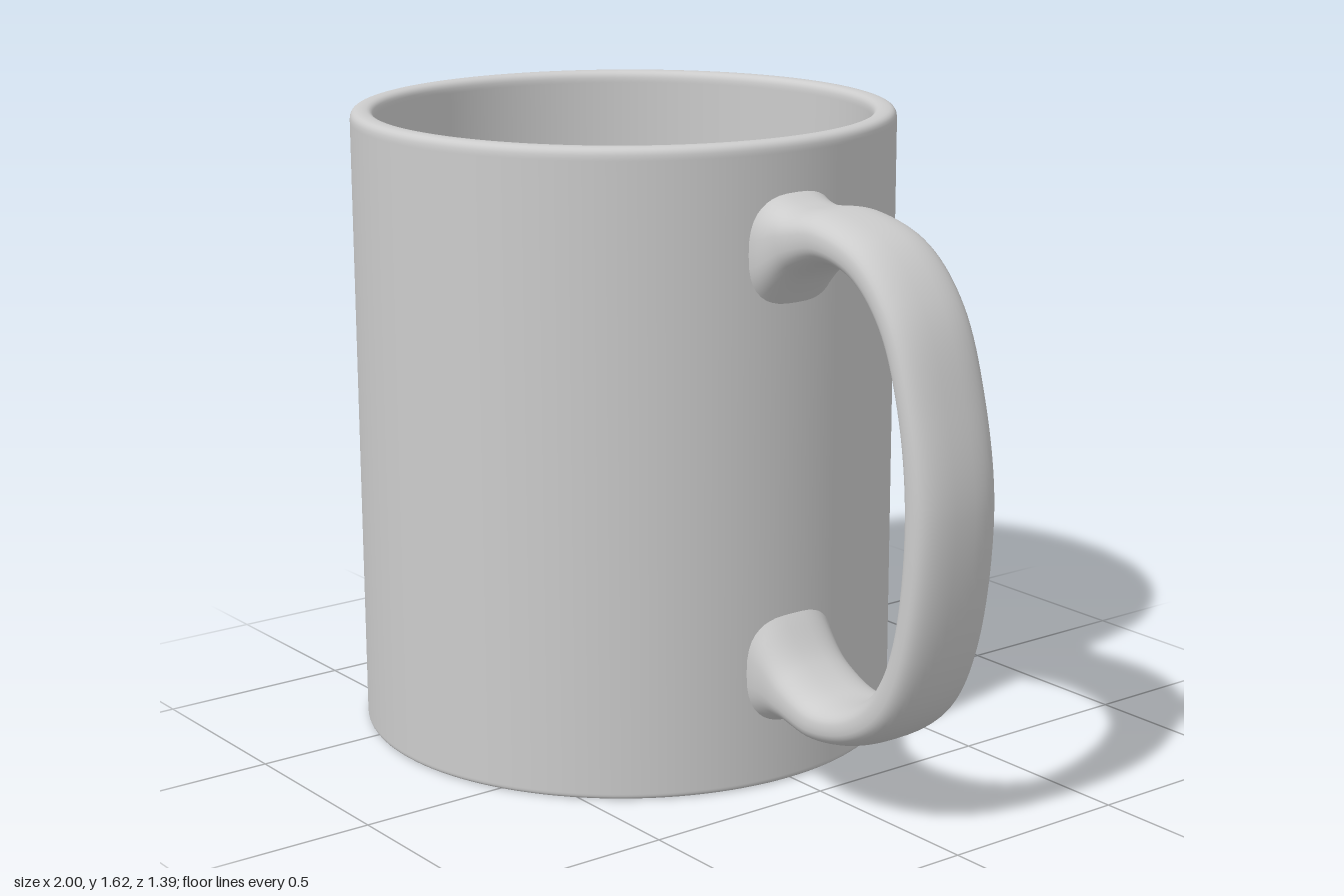
import * as THREE from 'three';

const CENTER_X = -0.305;

// Profile from corners [radius, y, fillet]; each corner is rounded and flanked by support points
function roundedProfile(corners) {
  const pts = corners.map(([x, y]) => new THREE.Vector2(x, y));
  const out = [pts[0]];
  for (let i = 1; i < pts.length - 1; i++) {
    const p = pts[i], r = corners[i][2];
    const toward = (q, d) => p.clone().add(q.clone().sub(p).setLength(d));
    const a = toward(pts[i - 1], r), b = toward(pts[i + 1], r);
    out.push(toward(pts[i - 1], r * 1.2));
    out.push(...new THREE.QuadraticBezierCurve(a, p, b).getPoints(6));
    out.push(toward(pts[i + 1], r * 1.2));
  }
  out.push(pts[pts.length - 1]);
  return out;
}

// Handle: rounded sections lofted between an outer and an inner outline
function handleGeometry() {
  const outer = [
    [0.35, 1.51], [0.395, 1.485], [0.45, 1.466], [0.58, 1.472], [0.75, 1.42], [0.875, 1.29], [0.955, 1.08],
    [1.0, 0.82],
    [0.955, 0.47], [0.875, 0.3], [0.75, 0.21], [0.58, 0.17], [0.45, 0.184], [0.395, 0.165], [0.35, 0.14],
  ];
  const inner = [
    [0.35, 1.17], [0.395, 1.225], [0.48, 1.305], [0.59, 1.348], [0.7, 1.325], [0.795, 1.235], [0.86, 1.07],
    [0.89, 0.82],
    [0.86, 0.52], [0.795, 0.38], [0.7, 0.305], [0.59, 0.284], [0.48, 0.335], [0.395, 0.43], [0.35, 0.48],
  ];
  const curve = (list) => new THREE.CatmullRomCurve3(list.map(([x, y]) => new THREE.Vector3(x, y, 0)));
  const outerCurve = curve(outer), innerCurve = curve(inner);
  const steps = 112, sides = 40;
  const power = (v) => Math.sign(v) * Math.pow(Math.abs(v), 2 / 2.6);
  const pos = [], index = [];
  for (let i = 0; i <= steps; i++) {
    const t = i / steps;
    const o = outerCurve.getPoint(t), n = innerCurve.getPoint(t);
    const mid = o.clone().add(n).multiplyScalar(0.5);
    const half = o.clone().sub(n).multiplyScalar(0.5);
    // The width flares slightly where the handle meets the wall
    const flare = Math.max(0, 1 - Math.min(t, 1 - t) / 0.13);
    const width = 0.121 + 0.035 * flare * flare;
    for (let j = 0; j < sides; j++) {
      const a = (j / sides) * Math.PI * 2;
      const c = power(Math.cos(a)), s = power(Math.sin(a));
      pos.push(mid.x + half.x * c, mid.y + half.y * c, width * s);
      if (i < steps) {
        const k = (j + 1) % sides;
        const p = i * sides + j, q = i * sides + k;
        index.push(p, q, p + sides, q, q + sides, p + sides);
      }
    }
  }
  const geo = new THREE.BufferGeometry();
  geo.setAttribute('position', new THREE.Float32BufferAttribute(pos, 3));
  geo.setIndex(index);
  geo.computeVertexNormals();
  return geo;
}

export function createModel() {
  const mug = new THREE.Group();
  mug.name = 'mug';
  const ceramic = new THREE.MeshStandardMaterial({ color: 0xcccccc });
  ceramic.name = 'light grey ceramic';

  // Body: recessed base, outer wall, rounded rim, inner wall and floor
  const profile = roundedProfile([
    [0, 0.018],
    [0.63, 0.018, 0.01],
    [0.645, 0, 0.008],
    [0.695, 0, 0.012],
    [0.695, 1.615, 0.026],
    [0.635, 1.615, 0.026],
    [0.635, 0.07, 0.03],
    [0, 0.07],
  ]);
  const body = new THREE.Mesh(new THREE.LatheGeometry(profile, 128), ceramic);
  body.name = 'body';
  body.position.x = CENTER_X;
  mug.add(body);

  const handle = new THREE.Mesh(handleGeometry(), ceramic);
  handle.name = 'handle';
  mug.add(handle);

  return mug;
}
